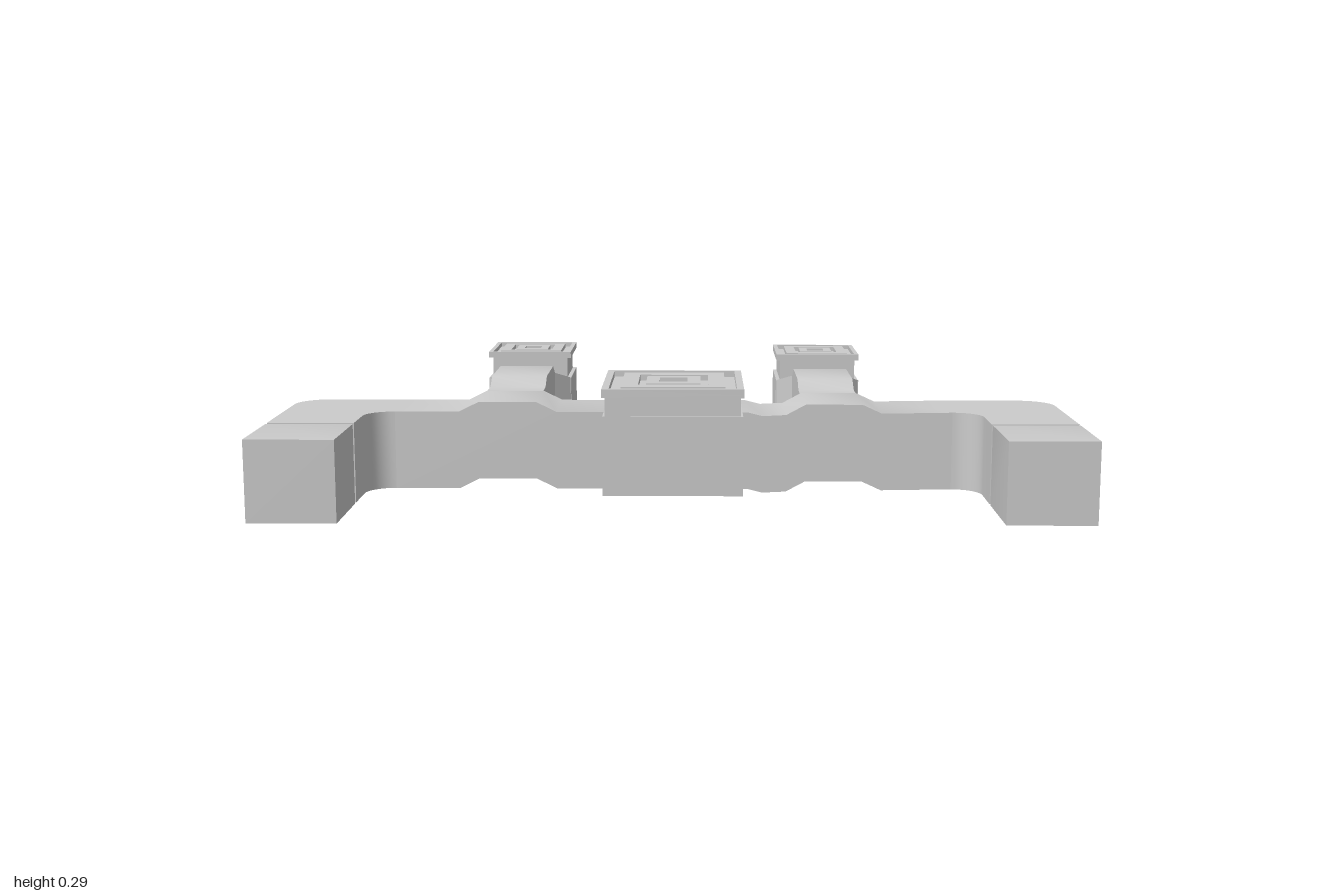
import * as THREE from 'three';
import { toCreasedNormals } from 'three/addons/utils/BufferGeometryUtils.js';

const material = new THREE.MeshStandardMaterial({ color: 0xcccccc });

function add(parent, name, geometry) {
  const mesh = new THREE.Mesh(toCreasedNormals(geometry, 0.6), material);
  mesh.name = name;
  parent.add(mesh);
  return mesh;
}

// Box given by its limits on each axis
function box(x0, x1, y0, y1, z0, z1) {
  return new THREE.BoxGeometry(x1 - x0, y1 - y0, z1 - z0)
    .translate((x0 + x1) / 2, (y0 + y1) / 2, (z0 + z1) / 2);
}

// Rectangular duct lofted along -z; sections are [z, halfWidth, bottom, top]
function ductLoft(sections) {
  const pos = [];
  const index = [];
  for (const [z, w, y0, y1] of sections) {
    pos.push(-w, y0, z, w, y0, z, w, y1, z, -w, y1, z);
  }
  const last = (sections.length - 1) * 4;
  for (let s = 0; s < last; s += 4) {
    for (let i = 0; i < 4; i++) {
      const j = (i + 1) % 4;
      index.push(s + i, s + 4 + i, s + 4 + j, s + i, s + 4 + j, s + j);
    }
  }
  index.push(0, 1, 2, 0, 2, 3, last, last + 2, last + 1, last, last + 3, last + 2);
  const g = new THREE.BufferGeometry();
  g.setAttribute('position', new THREE.Float32BufferAttribute(pos, 3));
  g.setIndex(index);
  return g;
}

function squarePath(path, r) {
  path.moveTo(-r, -r);
  path.lineTo(r, -r);
  path.lineTo(r, r);
  path.lineTo(-r, r);
  path.closePath();
  return path;
}

// Square ceiling diffuser: neck, backing plate and concentric frames
function diffuser(half, neckHalf, neckHeight, lip) {
  const g = new THREE.Group();
  g.name = 'diffuser';
  add(g, 'diffuserNeck', box(-neckHalf, neckHalf, 0, neckHeight, -neckHalf, neckHalf));
  const base = neckHeight + lip * 0.3;
  add(g, 'diffuserPlate', box(-half, half, neckHeight, base, -half, half));
  for (const [outer, inner] of [[1, 0.9], [0.74, 0.5], [0.39, 0.2]]) {
    const shape = squarePath(new THREE.Shape(), half * outer);
    shape.holes.push(squarePath(new THREE.Path(), half * inner));
    const frame = new THREE.ExtrudeGeometry(shape, { depth: lip * 0.7, bevelEnabled: false });
    add(g, 'diffuserFrame', frame.rotateX(-Math.PI / 2).translate(0, base, 0));
  }
  return g;
}

// Rounded elbow in plan, mirrored by side
function elbow(side) {
  const s = new THREE.Shape();
  const turn = (cx, cz, r, from, to) => {
    for (let i = 0; i <= 10; i++) {
      const a = from + (to - from) * i / 10;
      s.lineTo(side * (cx + r * Math.cos(a)), cz + r * Math.sin(a));
    }
  };
  s.moveTo(side * 0.715, 0.01);
  turn(0.915, 0.095, 0.085, -Math.PI / 2, 0);
  s.lineTo(side, 0.395);
  s.lineTo(side * 0.785, 0.395);
  turn(0.715, 0.285, 0.07, 0, -Math.PI / 2);
  return new THREE.ExtrudeGeometry(s, { depth: 0.2, bevelEnabled: false })
    .rotateX(Math.PI / 2).translate(0, 0.21, 0);
}

export function createModel() {
  const model = new THREE.Group();
  model.name = 'ductwork';

  // Main run, stepping up where each branch leaves it: [x, bottom]
  const run = [[-0.715, 0.01], [-0.55, 0.01], [-0.5, 0.035], [-0.35, 0.035], [-0.3, 0.01],
    [0.19, 0.01], [0.23, 0], [0.29, 0.003], [0.34, 0.03], [0.485, 0.03], [0.535, 0.007], [0.715, 0.01]];
  const profile = new THREE.Shape();
  run.forEach(([x, y], i) => (i ? profile.lineTo(x, y) : profile.moveTo(x, y)));
  [...run].reverse().forEach(([x, y]) => profile.lineTo(x, y + 0.2));
  profile.closePath();
  add(model, 'mainDuct', new THREE.ExtrudeGeometry(profile, { depth: 0.205, bevelEnabled: false })
    .translate(0, 0, 0.01));

  // Elbows and straight end pieces
  for (const side of [-1, 1]) {
    const name = side > 0 ? 'left' : 'right';
    add(model, name + 'Elbow', elbow(side));
    const end = ductLoft([
      [0.632, 0.1075, 0.01, 0.21],
      [0.41, 0.1075, 0.01, 0.21],
      [0.39, 0.101, 0.016, 0.204],
    ]);
    add(model, name + 'EndDuct', end).position.x = side * 0.8925;
  }

  // Central plenum with large diffuser
  add(model, 'centerPlenum', box(-0.178, 0.178, 0.006, 0.21, -0.062, 0.29));
  const centerDiffuser = diffuser(0.18, 0.172, 0.05, 0.022);
  centerDiffuser.position.set(0, 0.208, 0.114);
  model.add(centerDiffuser);

  // Rear branches with raised necks, plenum boxes and small diffusers
  for (const [name, x, dy, dz] of [['right', -0.425, 0.004, 0], ['left', 0.411, -0.003, -0.004]]) {
    const branch = new THREE.Group();
    branch.name = name + 'Branch';
    branch.position.set(x, dy, 0);
    add(branch, 'branchDuct', ductLoft([
      [0.02, 0.075, 0.031, 0.231],
      [-0.05, 0.075, 0.031, 0.231],
      [-0.1, 0.075, 0.045, 0.255],
      [-0.305, 0.075, 0.045, 0.255],
      [-0.365, 0.075, 0.03, 0.227],
      [-0.402 + dz, 0.12, 0.03, 0.208],
    ]));
    add(branch, 'branchPlenum', box(-0.119, 0.119, 0.028, 0.208, -0.63 + dz, -0.4 + dz));
    const vent = diffuser(0.119, 0.108, 0.06, 0.017);
    vent.position.set(0, 0.207, -0.515 + dz);
    branch.add(vent);
    model.add(branch);
  }
  return model;
}
